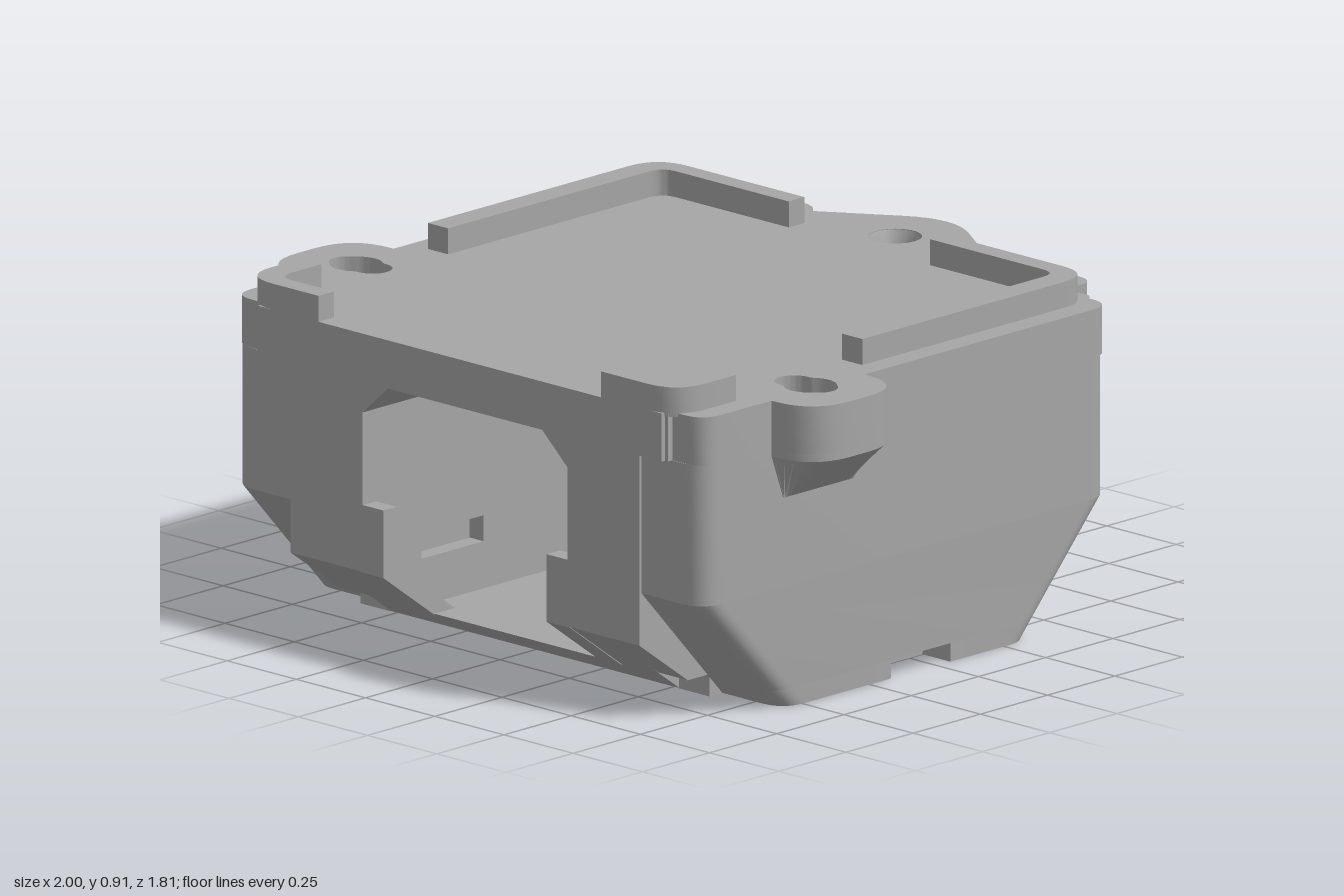
import * as THREE from 'three';
import { toCreasedNormals } from 'three/addons/utils/BufferGeometryUtils.js';

const plastic = new THREE.MeshStandardMaterial({ color: 0xa6a6a6 });
plastic.name = 'grey plastic';
const CZ = 0.112; // middle of the body in z

// Closed path through [a, b, radius] corners; radius rounds the corner
function rounded(pts, path = new THREE.Shape()) {
  const v = pts.map(p => new THREE.Vector2(p[0], p[1]));
  pts.forEach((p, i) => {
    const prev = v[(i + v.length - 1) % v.length], next = v[(i + 1) % v.length], r = p[2] || 0;
    const toward = q => v[i].clone().add(q.clone().sub(v[i]).setLength(r));
    const a = toward(prev), b = toward(next);
    if (i === 0) path.moveTo(a.x, a.y); else path.lineTo(a.x, a.y);
    if (r) path.quadraticCurveTo(v[i].x, v[i].y, b.x, b.y);
  });
  path.closePath();
  return path;
}

const flip = pts => pts.map(([x, z, r]) => [x, -z, r]);

function extrude(pts, holes, depth) {
  const shape = rounded(pts);
  shape.holes = holes.map(h => rounded(h, new THREE.Path()));
  return new THREE.ExtrudeGeometry(shape, { depth, bevelEnabled: false, curveSegments: 8 });
}

// Plan outline [x, z, r] raised from y0 to y1; rule may move the vertices
function extrudeY(pts, y0, y1, holes = [], rule = null) {
  const g = extrude(flip(pts), holes.map(flip), y1 - y0);
  g.rotateX(-Math.PI / 2).translate(0, y0, 0);
  if (rule) {
    const p = g.attributes.position, v = new THREE.Vector3();
    for (let i = 0; i < p.count; i++) {
      rule(v.fromBufferAttribute(p, i));
      p.setXYZ(i, v.x, v.y, v.z);
    }
  }
  return g;
}

// Side profile [z, y] run from |x| = x0 to x1 on side s
function extrudeX(pts, x0, x1, s, holes = []) {
  const neg = a => a.map(([z, y, r]) => [-z, y, r]);
  const g = extrude(neg(pts), holes.map(neg), x1 - x0);
  return g.rotateY(Math.PI / 2).translate(s > 0 ? x0 : -x1, 0, 0);
}

const mirrorX = (pts, s) => pts.map(([x, z, r]) => [x * s, z, r]);
const mirrorZ = pts => pts.map(([z, y, r]) => [2 * CZ - z, y, r]);
const bothEnds = front => [...front, ...mirrorZ(front).reverse()];

export function createModel() {
  const group = new THREE.Group();
  const add = (name, geo) => {
    const mesh = new THREE.Mesh(toCreasedNormals(geo, 0.6), plastic);
    mesh.name = name;
    group.add(mesh);
  };

  // Top plate with ears, rear blocks, rear tab, and its holes
  const half = [
    [0.74, 0.887], [0.74, 0.87], [0.85, 0.87, 0.07], [0.85, 0.615], [1, 0.615, 0.14],
    [1, 0.27, 0.14], [0.85, 0.27], [0.85, -0.65, 0.07], [0.77, -0.65], [0.75, -0.67],
    [0.665, -0.67], [0.665, -0.78, 0.06], [0.33, -0.78, 0.06], [0.32, -0.74],
  ];
  const outline = [...half, [0, -0.95, 0.14], ...mirrorX(half, -1).reverse()];

  // Ear slot widened by a round hole
  const slotHalf = x => Math.max(
    Math.sqrt(Math.max(0, 0.052 ** 2 - Math.max(0, Math.abs(x - 0.805) - 0.043) ** 2)),
    Math.sqrt(Math.max(0, 0.07 ** 2 - (x - 0.82) ** 2)));
  const slot = [];
  for (let i = 0; i <= 32; i++) {
    const x = 0.805 - 0.095 * Math.cos(i / 32 * Math.PI);
    slot.push([x, 0.44 + slotHalf(x)]);
  }
  for (let i = 31; i > 0; i--) slot.push([slot[i][0], 0.88 - slot[i][1]]);
  const tabHole = [];
  for (let i = 0; i < 32; i++) {
    const a = i / 32 * Math.PI * 2;
    tabHole.push([0.07 * Math.cos(a), -0.72 + 0.07 * Math.sin(a)]);
  }
  add('topPlate', extrudeY(outline, 0.71, 0.84, [slot, mirrorX(slot, -1), tabHole]));

  // Countersink in the tab hole
  const sink = new THREE.LatheGeometry(
    [[0.07, 0.71], [0.07, 0.838], [0.048, 0.78], [0.048, 0.71], [0.07, 0.71]]
      .map(([r, y]) => new THREE.Vector2(r, y)).reverse(), 32);
  sink.translate(0, 0, -0.72);
  const ring = new THREE.Mesh(toCreasedNormals(sink, 0.6),
    Object.assign(plastic.clone(), { name: 'grey plastic two-sided', side: THREE.DoubleSide }));
  ring.name = 'tabCountersink';
  group.add(ring);

  // Front band
  add('frontBand', new THREE.BoxGeometry(1.46, 0.13, 0.04).translate(0, 0.775, 0.88));

  // Floor between the walls, with sloped ends
  add('floor', extrudeX(bothEnds([[0.617, 0], [0.69, 0.053]]), -0.4, 0.4, 1));

  // Wall profiles: plain, and with a screw recess cut in the slope
  const wall = bothEnds([[0.617, 0], [0.88, 0.19], [0.88, 0.71]]);
  const recessed = bothEnds([[0.62, 0], [0.62, 0.06], [0.70, 0.06], [0.88, 0.19], [0.88, 0.71]]);
  const pocket = [[0.66, 0.18], [0.43, 0.18], [0.43, 0.25], [0.66, 0.25]];

  for (const s of [1, -1]) {
    const side = s > 0 ? 'left' : 'right';
    add(side + 'InnerWall', extrudeX(wall, 0.37, 0.42, s, [pocket, mirrorZ(pocket)]));
    add(side + 'Wall', extrudeX(wall, 0.42, 0.52, s));
    add(side + 'RecessedWall', extrudeX(recessed, 0.52, 0.63, s));

    // Chamfer along the tunnel ceiling
    const wedge = extrude([[0.27 * s, 0.71], [0.375 * s, 0.71], [0.375 * s, 0.615]], [], 1.535);
    add(side + 'CeilingChamfer', wedge.translate(0, 0, -0.655));

    // Thin lips at both tunnel ends
    const lip = [[0.69, 0.05], [0.88, 0.188], [0.88, 0.37], [0.83, 0.37], [0.83, 0.21], [0.61, 0.05]];
    add(side + 'FrontLip', extrudeX(lip, 0.295, 0.38, s));
    add(side + 'RearLip', extrudeX(mirrorZ(lip), 0.295, 0.38, s));

    // Outer side: straight above, tapering below, notched at the foot
    const hz = 0.76;
    const plan = mirrorX([[0.61, CZ + hz], [0.85, CZ + hz, 0.08], [0.85, CZ - hz, 0.08], [0.61, CZ - hz]], s);
    const notched = mirrorX([[0.61, CZ + hz], [0.85, CZ + hz, 0.08], [0.85, 0.17], [0.75, 0.17],
      [0.75, -0.05], [0.85, -0.05], [0.85, CZ - hz, 0.08], [0.61, CZ - hz]], s);
    const taper = v => {
      const d = v.z - CZ;
      if (Math.abs(d) > 0.4) v.z -= Math.sign(d) * (0.33 - v.y) * 0.91;
    };
    add(side + 'Side', extrudeY(plan, 0.33, 0.71, []));
    add(side + 'SideTaper', extrudeY(plan, 0.05, 0.33, [], taper));
    add(side + 'SideFoot', extrudeY(notched, 0, 0.05, [], taper));

    // Ear with a sloping underside
    const ear = mirrorX([[0.8, 0.615], [1, 0.615, 0.14], [1, 0.27, 0.14], [0.8, 0.27]], s);
    add(side + 'Ear', extrudeY(ear, 0.69, 0.71));
    add(side + 'EarSlope', extrudeY(ear, 0.57, 0.69, [], v => {
      if (v.y < 0.6) {
        v.x = s * Math.min(Math.abs(v.x), 0.852);
        v.z = 0.4425 + (v.z - 0.4425) * 0.75;
      }
    }));

    // Rear block with a sloping underside
    add(side + 'RearBlock', extrudeX(
      [[-0.6, 0.71], [-0.775, 0.71], [-0.775, 0.69], [-0.645, 0.57], [-0.6, 0.57]], 0.345, 0.655, s));

    // Raised locating rails on the plate
    const rail = (x, zOut, zIn, zEnd) => mirrorX([[x, zOut], [0.785, zOut, 0.11], [0.785, zEnd],
      [0.712, zEnd], [0.712, zIn, 0.05], [x, zIn]], s);
    add(side + 'RearRail', extrudeY(rail(0.255, -0.645, -0.587, 0.21), 0.83, 0.91));
    add(side + 'FrontRail', extrudeY(rail(0.51, 0.9, 0.842, 0.68), 0.83, 0.91));
  }
  return group;
}
